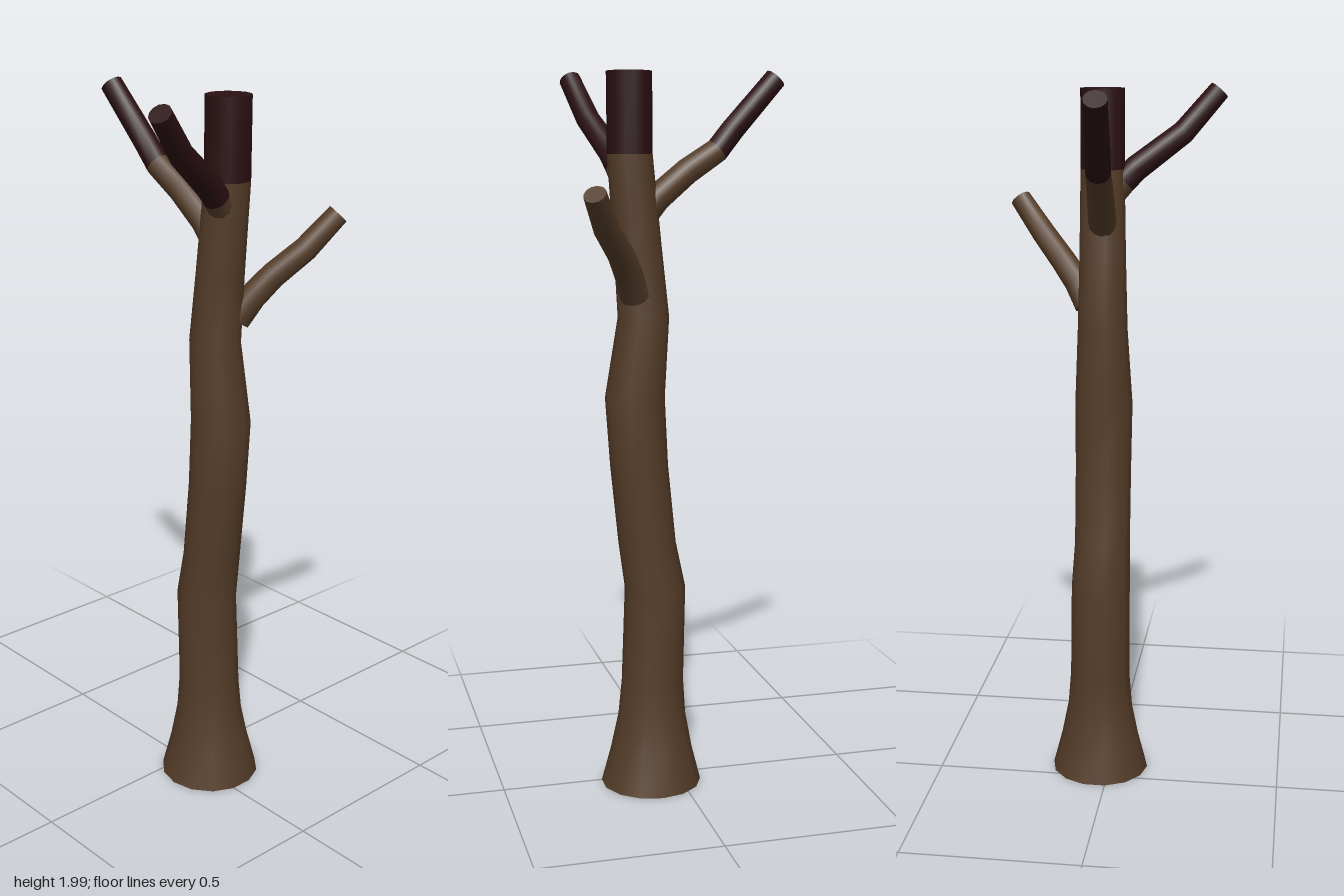
import * as THREE from 'three';

const bark = new THREE.MeshStandardMaterial({ color: 0x543c28 });
bark.name = 'bark';
const charred = new THREE.MeshStandardMaterial({ color: 0x2b1012 });
charred.name = 'charred wood';
const cutWood = new THREE.MeshStandardMaterial({ color: 0x74482f });
cutWood.name = 'cut wood';
const materials = [bark, charred, cutWood];
const Y = new THREE.Vector3(0, 1, 0);

// Smooth capped tube through rings [x, y, z, radius]; charred from ring charFrom upward.
function limb(name, rings, sides, charFrom, upright) {
  const centres = rings.map(([x, y, z]) => new THREE.Vector3(x, y, z));
  const last = rings.length - 1;
  const pos = [], index = [];
  const addRing = (i) => {
    const d = upright ? Y.clone() : centres[Math.min(i + 1, last)].clone()
      .sub(centres[Math.max(i - 1, 0)]).normalize();
    const u = upright ? new THREE.Vector3(0, 0, 1) : new THREE.Vector3().crossVectors(Y, d).normalize();
    const v = new THREE.Vector3().crossVectors(d, u);
    for (let j = 0; j < sides; j++) {
      const a = (j / sides) * Math.PI * 2;
      const p = centres[i].clone()
        .addScaledVector(u, Math.cos(a) * rings[i][3])
        .addScaledVector(v, Math.sin(a) * rings[i][3]);
      pos.push(p.x, p.y, p.z);
    }
  };
  rings.forEach((_, i) => addRing(i));
  for (let i = 0; i < last; i++) {
    for (let j = 0; j < sides; j++) {
      const k = (j + 1) % sides;
      const a = i * sides + j, b = i * sides + k;
      index.push(a, b, b + sides, a, b + sides, a + sides);
    }
  }
  // End caps use their own corners so the rims stay sharp
  for (const i of [0, last]) {
    const start = pos.length / 3;
    addRing(i);
    pos.push(...centres[i].toArray());
    for (let j = 0; j < sides; j++) {
      const a = start + j, b = start + (j + 1) % sides;
      if (i === 0) index.push(start + sides, b, a);
      else index.push(start + sides, a, b);
    }
  }
  const geo = new THREE.BufferGeometry();
  geo.setAttribute('position', new THREE.Float32BufferAttribute(pos, 3));
  geo.setIndex(index);
  geo.computeVertexNormals();
  const band = sides * 6, cap = sides * 3;
  const burnt = Math.min(charFrom, last);
  geo.addGroup(0, burnt * band, 0);
  if (burnt < last) geo.addGroup(burnt * band, (last - burnt) * band, 1);
  geo.addGroup(last * band, cap, upright ? 2 : 0);
  geo.addGroup(last * band + cap, cap, burnt < last ? 1 : 0);
  const mesh = new THREE.Mesh(geo, materials);
  mesh.name = name;
  return mesh;
}

export function createModel() {
  const group = new THREE.Group();
  group.name = 'deadTree';

  // Crooked trunk with a flared foot and charred top
  group.add(limb('trunk', [
    [0.08, 0, -0.03, 0.141],
    [0.079, 0.1, -0.03, 0.115],
    [0.077, 0.2, -0.03, 0.095],
    [0.075, 0.3, -0.03, 0.087],
    [0.066, 0.57, -0.027, 0.085],
    [0.088, 0.7, -0.025, 0.08],
    [0.11, 0.92, -0.025, 0.08],
    [0.121, 1.11, -0.025, 0.082],
    [0.096, 1.33, -0.025, 0.07],
    [0.112, 1.52, -0.027, 0.065],
    [0.133, 1.765, -0.03, 0.061],
    [0.134, 1.98, -0.03, 0.061],
  ], 14, 10, true));

  // Right branch, charred past the bend
  group.add(limb('rightBranch', [
    [0.11, 1.585, -0.025, 0.04],
    [0.055, 1.65, -0.022, 0.038],
    [-0.03, 1.72, -0.015, 0.036],
    [-0.115, 1.775, -0.008, 0.034],
    [-0.16, 1.83, -0.003, 0.033],
    [-0.285, 1.968, 0.008, 0.031],
  ], 12, 3));

  // Front branch, charred almost from its root
  group.add(limb('frontBranch', [
    [0.14, 1.69, -0.01, 0.038],
    [0.15, 1.73, 0.025, 0.037],
    [0.16, 1.765, 0.06, 0.036],
    [0.2, 1.86, 0.185, 0.033],
    [0.232, 1.972, 0.28, 0.03],
  ], 12, 1));

  // Back branch, bare bark
  group.add(limb('backBranch', [
    [0.13, 1.39, -0.07, 0.04],
    [0.155, 1.45, -0.105, 0.038],
    [0.185, 1.505, -0.15, 0.036],
    [0.238, 1.575, -0.215, 0.034],
    [0.283, 1.665, -0.287, 0.03],
  ], 12, 9));

  return group;
}
